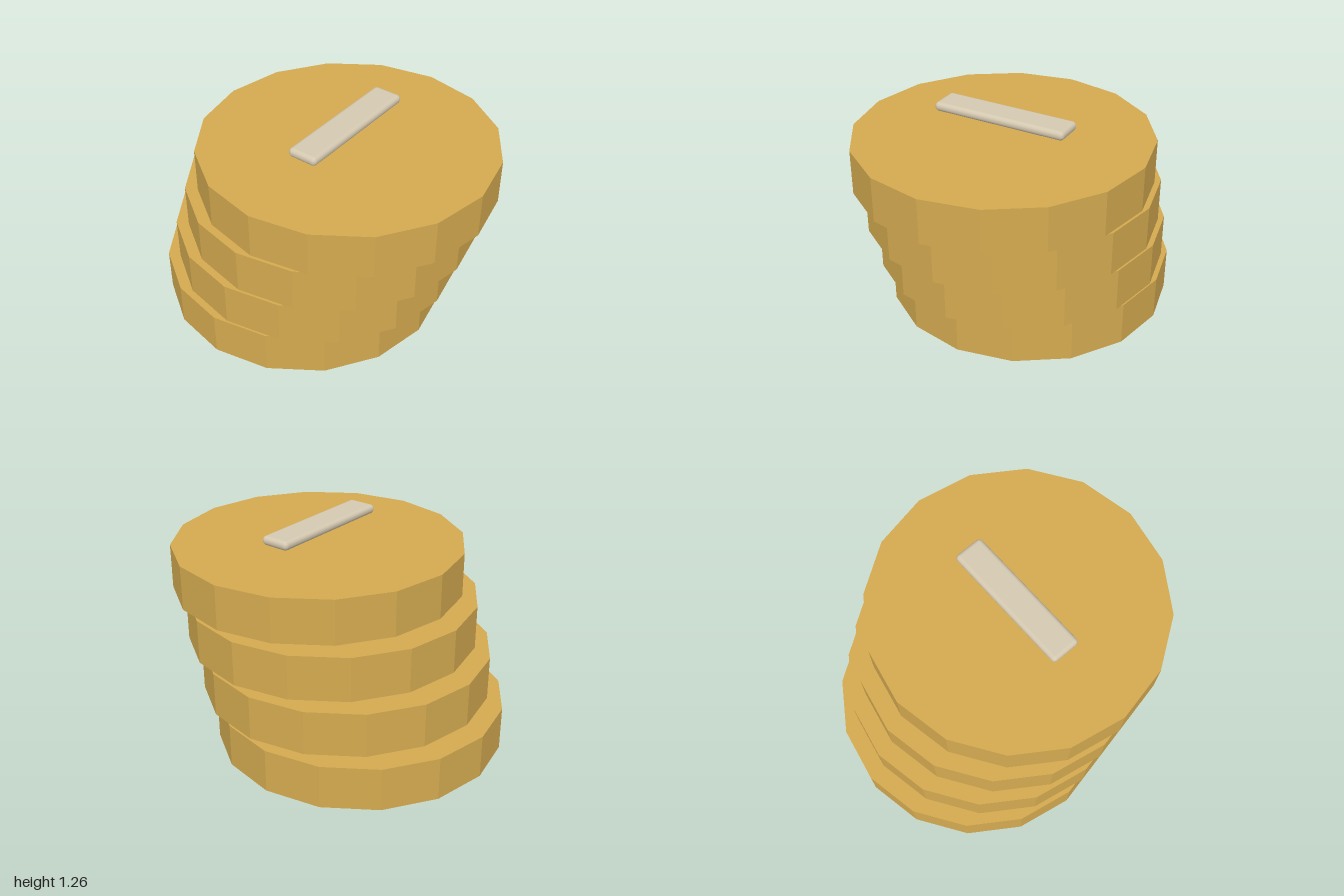
import * as THREE from 'three';
import { RoundedBoxGeometry } from 'three/addons/geometries/RoundedBoxGeometry.js';

export function createModel() {
  const model = new THREE.Group();
  model.name = 'discStack';

  const gold = new THREE.MeshStandardMaterial({ color: 0xd4aa50 });
  gold.name = 'gold';
  gold.flatShading = true;
  const cream = new THREE.MeshStandardMaterial({ color: 0xd4c8b0 });
  cream.name = 'cream';

  // Four sixteen-sided discs, each shifted sideways and floating above the last
  const discGeometry = new THREE.CylinderGeometry(0.845, 0.845, 0.258, 16);
  for (let i = 0; i < 4; i++) {
    const disc = new THREE.Mesh(discGeometry, gold);
    disc.name = `disc${i + 1}`;
    disc.position.set((i - 1.5) * 0.1033, 0.129 + i * 0.295, 0);
    model.add(disc);
  }

  // Slim rounded bar hovering over the top disc
  const bar = new THREE.Mesh(new RoundedBoxGeometry(0.18, 0.053, 0.805, 4, 0.025), cream);
  bar.name = 'topBar';
  bar.position.set(0.14, 1.236, 0);
  model.add(bar);

  return model;
}
